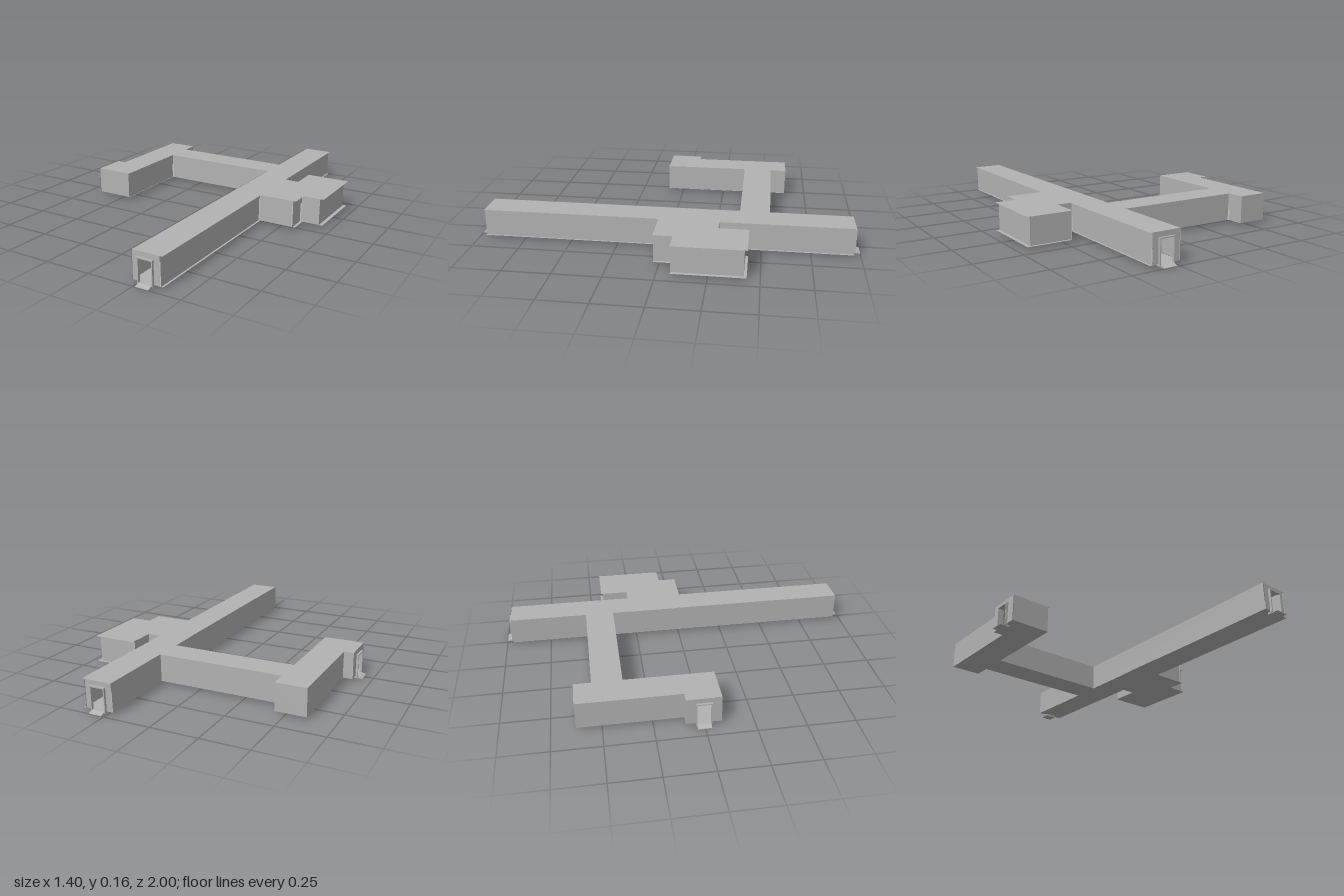
import * as THREE from 'three';

const FLOOR = 0.013, TOP = 0.158;

export function createModel() {
  const model = new THREE.Group();
  model.name = 'corridorBuilding';
  const grey = new THREE.MeshStandardMaterial({ color: 0xb2b2b2, side: THREE.DoubleSide });
  grey.name = 'concrete grey';

  const add = (parent, name, geometry) => {
    const mesh = new THREE.Mesh(geometry, grey);
    mesh.name = name;
    parent.add(mesh);
    return mesh;
  };

  // Roof and floor sheets share one plan outline, given as [x, z]
  const plan = [
    [0.225, -0.965], [0.385, -0.965], [0.385, -0.283], [0.462, -0.283],
    [0.462, -0.436], [0.70, -0.436], [0.70, -0.07], [0.587, -0.07],
    [0.587, 0.03], [0.385, 0.03], [0.385, 0.963], [0.225, 0.963],
    [0.225, -0.38], [-0.447, -0.38], [-0.447, 0.087], [-0.66, 0.087],
    [-0.66, -0.093], [-0.61, -0.093], [-0.61, -0.627], [-0.447, -0.627],
    [-0.447, -0.537], [0.225, -0.537],
  ];
  const outline = new THREE.Shape(plan.map(([x, z]) => new THREE.Vector2(x, -z)));
  for (const [name, y] of [['roof', TOP], ['floor', FLOOR]]) {
    add(model, name, new THREE.ShapeGeometry(outline).rotateX(-Math.PI / 2).translate(0, y, 0));
  }

  // Plain outer walls: x1, z1, x2, z2
  const walls = [
    // Long corridor
    [0.222, -0.963, 0.222, -0.537], [0.222, -0.38, 0.222, 0.963],
    [0.375, -0.963, 0.375, -0.283], [0.375, 0.03, 0.375, 0.963],
    // Side rooms
    [0.378, -0.283, 0.458, -0.283], [0.456, -0.283, 0.456, -0.422],
    [0.458, -0.422, 0.68, -0.422], [0.68, -0.422, 0.68, -0.07],
    [0.68, -0.07, 0.578, -0.07], [0.572, -0.07, 0.572, 0.03],
    [0.567, 0.03, 0.378, 0.03],
    // Cross corridor
    [-0.44, -0.537, 0.222, -0.537], [-0.44, -0.38, 0.222, -0.38],
    // Far wing
    [-0.45, -0.627, -0.45, -0.537], [-0.45, -0.38, -0.45, 0.087],
    [-0.45, 0.087, -0.66, 0.087], [-0.66, -0.093, -0.61, -0.093],
    [-0.61, -0.093, -0.61, -0.627], [-0.61, -0.627, -0.45, -0.627],
  ];
  for (const [x1, z1, x2, z2] of walls) {
    const wall = add(model, 'wall', new THREE.PlaneGeometry(Math.hypot(x2 - x1, z2 - z1), TOP - FLOOR));
    wall.position.set((x1 + x2) / 2, (TOP + FLOOR) / 2, (z1 + z2) / 2);
    wall.rotation.y = Math.atan2(z1 - z2, x2 - x1);
  }

  // End wall with an open doorway, a projecting frame and a sloping step
  const doorway = (name, x, z, turn, left, right) => {
    const group = new THREE.Group();
    group.name = name;
    group.position.set(x, 0, z);
    group.rotation.y = turn;
    const face = new THREE.Shape([
      [left, FLOOR], [-0.037, FLOOR], [-0.037, 0.128], [0.037, 0.128],
      [0.037, FLOOR], [right, FLOOR], [right, TOP], [left, TOP],
    ].map((p) => new THREE.Vector2(...p)));
    add(group, 'doorWall', new THREE.ShapeGeometry(face));
    for (const side of [-1, 1]) {
      add(group, 'doorJamb', new THREE.BoxGeometry(0.006, 0.125, 0.014))
        .position.set(side * 0.038, 0.0695, 0.005);
    }
    add(group, 'doorHead', new THREE.BoxGeometry(0.082, 0.006, 0.014)).position.set(0, 0.129, 0.005);
    add(group, 'doorSill', new THREE.BoxGeometry(0.082, 0.006, 0.014)).position.set(0, 0.008, 0.005);
    // Wedge-shaped step, cut from its side profile
    const wedge = new THREE.Shape([
      [-0.02, 0], [0.037, 0], [0.037, 0.003], [0.012, 0.011], [-0.02, 0.011],
    ].map((p) => new THREE.Vector2(...p)));
    const step = new THREE.ExtrudeGeometry(wedge, { depth: 0.07, bevelEnabled: false });
    add(group, 'step', step.rotateY(-Math.PI / 2).translate(0.035, 0, 0));
    model.add(group);
  };
  doorway('frontDoor', 0.298, 0.963, 0, -0.073, 0.073);
  doorway('backDoor', 0.298, -0.963, Math.PI, -0.073, 0.073);
  doorway('sideDoor', -0.663, -0.003, -Math.PI / 2, -0.09, 0.09);

  return model;
}
